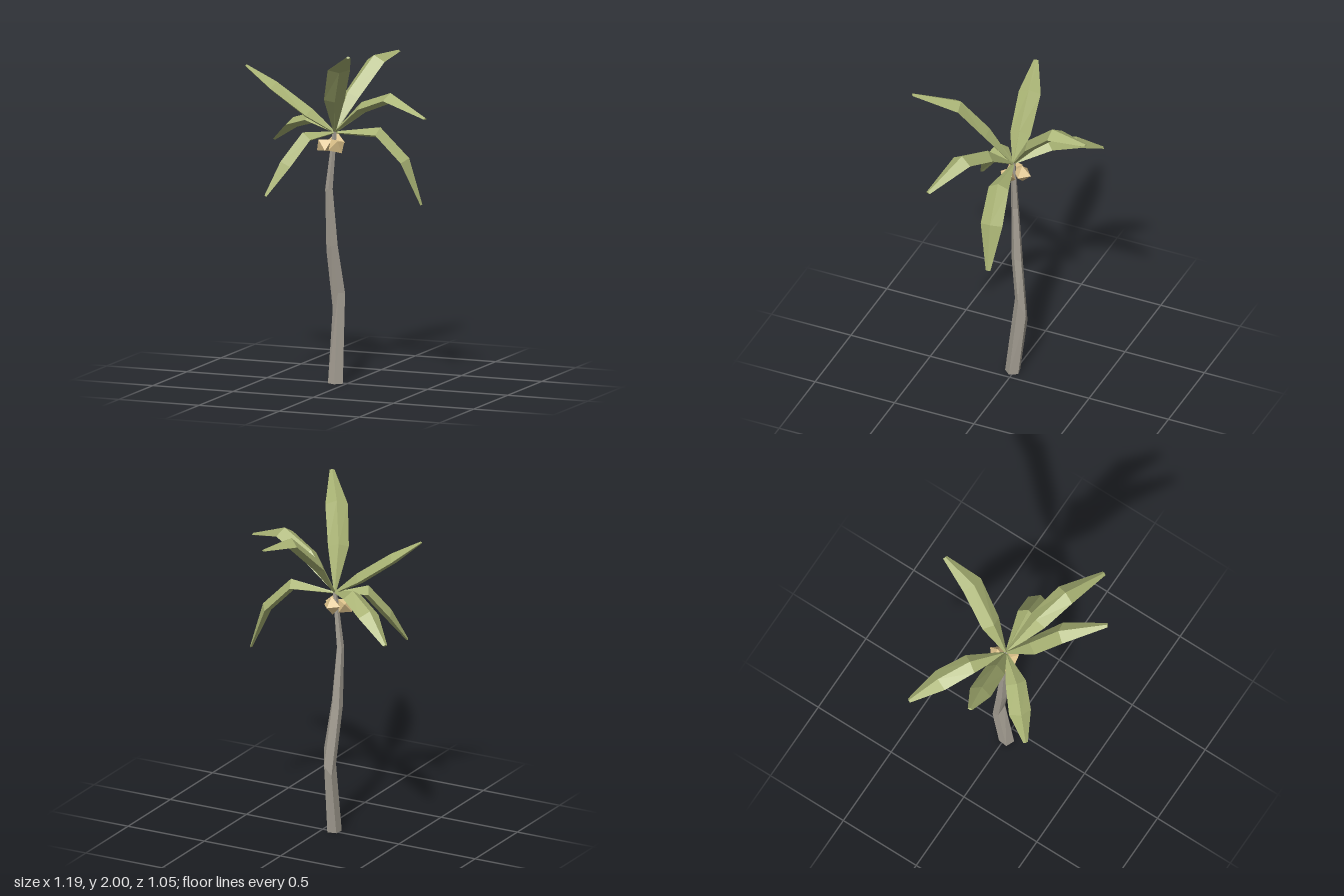
import * as THREE from 'three';

const V = (x, y, z) => new THREE.Vector3(x, y, z);
const material = (color) =>
  new THREE.MeshStandardMaterial({ color, flatShading: true });

// Closed faceted skin through rings of equal size, ordered anticlockwise about the path
function loft(rings) {
  const pos = [];
  const tri = (...pts) => pts.forEach((p) => pos.push(p.x, p.y, p.z));
  const n = rings[0].length;
  for (let k = 0; k < rings.length - 1; k++) {
    const a = rings[k], b = rings[k + 1];
    for (let i = 0; i < n; i++) {
      const j = (i + 1) % n;
      tri(a[i], a[j], b[j]);
      tri(a[i], b[j], b[i]);
    }
  }
  const first = rings[0], last = rings[rings.length - 1];
  for (let i = 1; i < n - 1; i++) {
    tri(first[0], first[i + 1], first[i]);
    tri(last[0], last[i], last[i + 1]);
  }
  const geometry = new THREE.BufferGeometry();
  geometry.setAttribute('position', new THREE.Float32BufferAttribute(pos, 3));
  geometry.computeVertexNormals();
  return geometry;
}

const crown = V(-0.075, 1.46, 0.01);

// Bent five-sided trunk; each row is x, y, z, radius, tilt of the section
function trunkGeometry() {
  const sections = [
    [-0.067, 0, 0.01, 0.046, 0],
    [-0.068, 0.45, -0.043, 0.038, 1.6],
    [-0.095, 0.78, -0.005, 0.035, 0.5],
    [-0.107, 1.13, 0.014, 0.023, 0],
    [-0.073, 1.47, 0.01, 0.013, 0],
  ];
  return loft(sections.map(([x, y, z, r, tilt]) =>
    Array.from({ length: 5 }, (_, i) => {
      const a = (i / 5) * Math.PI * 2 + 0.2;
      const dx = r * Math.sin(a), dz = r * Math.cos(a);
      return V(x + dx, y + tilt * (dx + dz), z + dz);
    })));
}

// Frond: a shallow diamond section with a high upper ridge, bent at two points
const halfWidth = [0.006, 0.06, 0.065, 0.014];
const upper = [0.006, 0.042, 0.04, 0.008];
const lower = [0.006, 0.022, 0.02, 0.006];

function frondGeometry(points) {
  const path = [crown, ...points.map((p) => V(...p))];
  const heading = path[3].clone().sub(crown).setY(0).normalize();
  const side = heading.cross(V(0, 1, 0));
  return loft(path.map((p, i) => {
    const t = path[Math.min(i + 1, 3)].clone()
      .sub(path[Math.max(i - 1, 0)]).normalize();
    const normal = side.clone().cross(t).normalize();
    const at = (dir, d) => p.clone().addScaledVector(dir, d);
    return [at(normal, upper[i]), at(side, halfWidth[i]),
      at(normal, -lower[i]), at(side, -halfWidth[i])];
  }));
}

// Two bends and the tip of every frond
const fronds = [
  [[-0.03, 1.65, -0.125], [0.05, 1.835, -0.305], [0.098, 1.86, -0.522]],
  [[-0.26, 1.505, -0.115], [-0.42, 1.45, -0.215], [-0.587, 1.335, -0.32]],
  [[-0.23, 1.56, 0.037], [-0.435, 1.71, 0.07], [-0.59, 1.83, 0.1]],
  [[-0.193, 1.44, 0.155], [-0.283, 1.29, 0.242], [-0.368, 1.12, 0.336]],
  [[-0.01, 1.68, 0.168], [0.075, 1.88, 0.3], [0.222, 1.995, 0.512]],
  [[0.143, 1.625, 0.09], [0.333, 1.7, 0.15], [0.59, 1.62, 0.247]],
  [[0.185, 1.465, -0.014], [0.335, 1.31, -0.037], [0.435, 1.06, -0.06]],
];

// Faceted nuts hanging under the crown
const nuts = [
  [-0.13, 1.385, 0.03],
  [-0.053, 1.385, 0.035],
  [-0.085, 1.4, -0.042],
];

export function createModel() {
  const model = new THREE.Group();
  model.name = 'palmTree';
  const bark = material(0xa39d92);
  const leaf = material(0xa9b374);
  const shell = material(0xdfc48c);
  const add = (name, geometry, mat) => {
    const mesh = new THREE.Mesh(geometry, mat);
    mesh.name = name;
    model.add(mesh);
    return mesh;
  };

  add('trunk', trunkGeometry(), bark);
  fronds.forEach((points, i) => add(`frond${i + 1}`, frondGeometry(points), leaf));
  nuts.forEach((p, i) => {
    const nut = add(`coconut${i + 1}`, new THREE.OctahedronGeometry(0.055), shell);
    nut.position.set(...p);
    nut.rotation.set(0.5, i * 2.1 + 0.4, 0.5);
  });
  return model;
}
